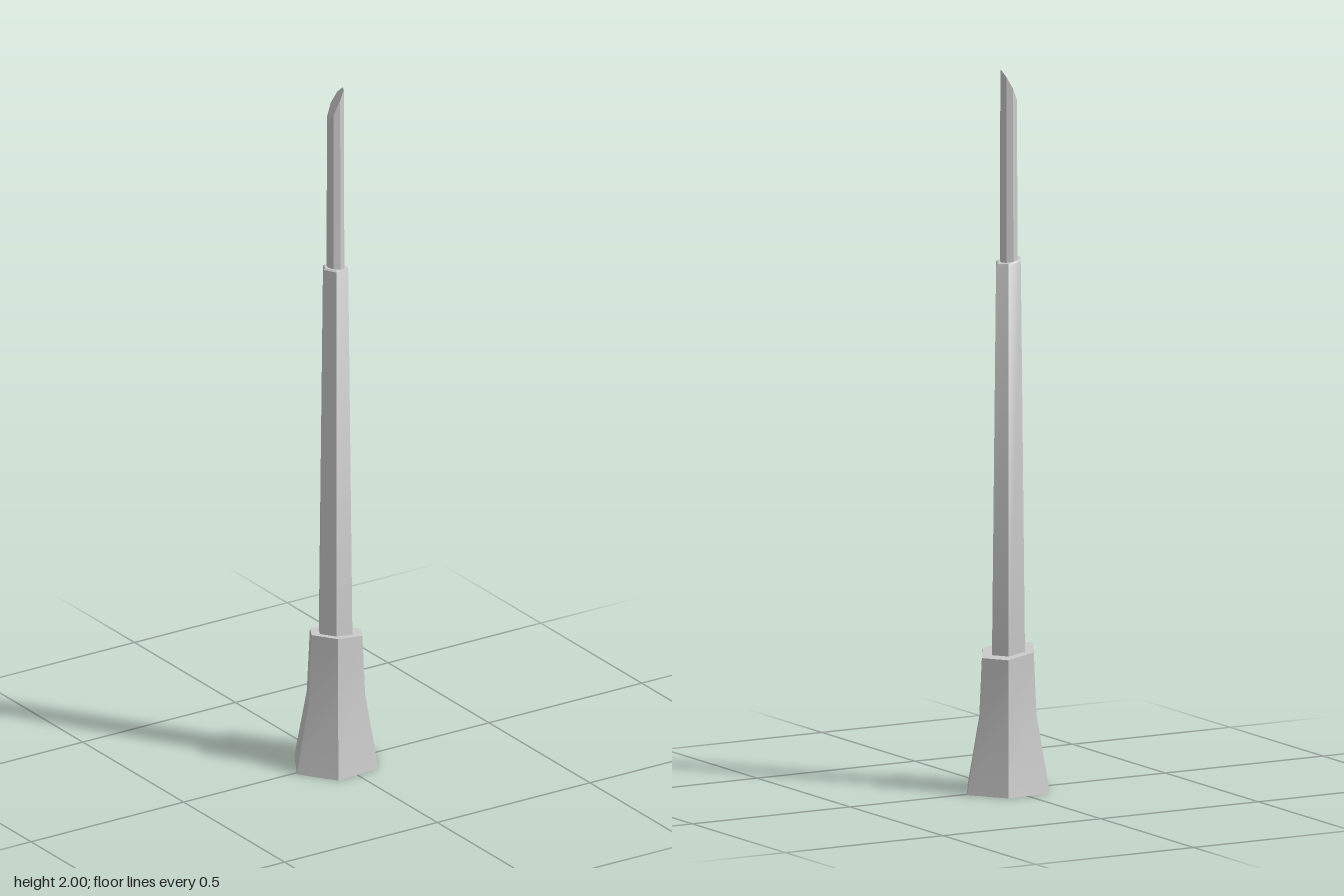
import * as THREE from 'three';
import { toCreasedNormals } from 'three/addons/utils/BufferGeometryUtils.js';

// Slightly irregular hexagon, counter-clockwise seen from above
const HEX = [[1, -0.08], [0.47, -0.83], [-0.52, -0.755], [-1, 0.07], [-0.48, 0.81], [0.52, 0.73]];
const ROUND = Array.from({ length: 8 }, (_, i) => {
  const a = (i / 8) * Math.PI * 2;
  return [Math.cos(a), -Math.sin(a)];
});

// Skin a stack of rings; each ring is [radius, height, or height as a function of x and z]
function loft(outline, rings, cx = 0) {
  const n = outline.length, pos = [];
  const points = rings.map(([r, h]) => outline.map(([u, v]) => {
    const x = u * r + cx, z = v * r;
    return [x, typeof h === 'function' ? h(x, z) : h, z];
  }));
  for (let i = 0; i < rings.length - 1; i++) {
    for (let j = 0; j < n; j++) {
      const k = (j + 1) % n;
      const a = points[i][j], b = points[i][k], c = points[i + 1][k], d = points[i + 1][j];
      if (rings[i][0] > 0) pos.push(...a, ...b, ...c);
      if (rings[i + 1][0] > 0) pos.push(...a, ...c, ...d);
      else if (rings[i][0] === 0) continue;
    }
  }
  const g = new THREE.BufferGeometry();
  g.setAttribute('position', new THREE.Float32BufferAttribute(pos, 3));
  return toCreasedNormals(g, 0.6);
}

export function createModel() {
  const group = new THREE.Group();
  const material = new THREE.MeshStandardMaterial({ color: 0xcccccc });
  const add = (name, geometry) => {
    const mesh = new THREE.Mesh(geometry, material);
    mesh.name = name;
    group.add(mesh);
  };

  // Flared socket, hollow underneath, with a slanted rim
  const rim = (x, z) => 0.388 - 0.14 * x + 0.1 * z;
  add('flaredSocket', loft(HEX, [
    [0, 0.34], [0.055, 0.34], [0.064, 0], [0.135, 0], [0.095, 0.2], [0.085, rim], [0.05, rim],
  ]));

  // Long tapering shaft with a small shoulder
  const shoulder = (x, z) => 1.467 - 0.18 * x + 0.04 * z;
  add('shaft', loft(HEX, [
    [0, 0.345], [0.055, 0.345], [0.041, shoulder],
    [0.037, (x, z) => shoulder(x, z) + 0.005], [0.02, (x, z) => shoulder(x, z) + 0.005],
  ], -0.002));

  // Thin rod ending in a curved oblique cut
  const cut = (x, z) => 1.97 + 1.9 * x - 18 * x * x + 0.5 * z;
  add('slantedTip', loft(ROUND, [
    [0, 1.44], [0.025, 1.44], [0.0235, cut], [0.012, cut], [0, cut],
  ], -0.003));

  return group;
}
